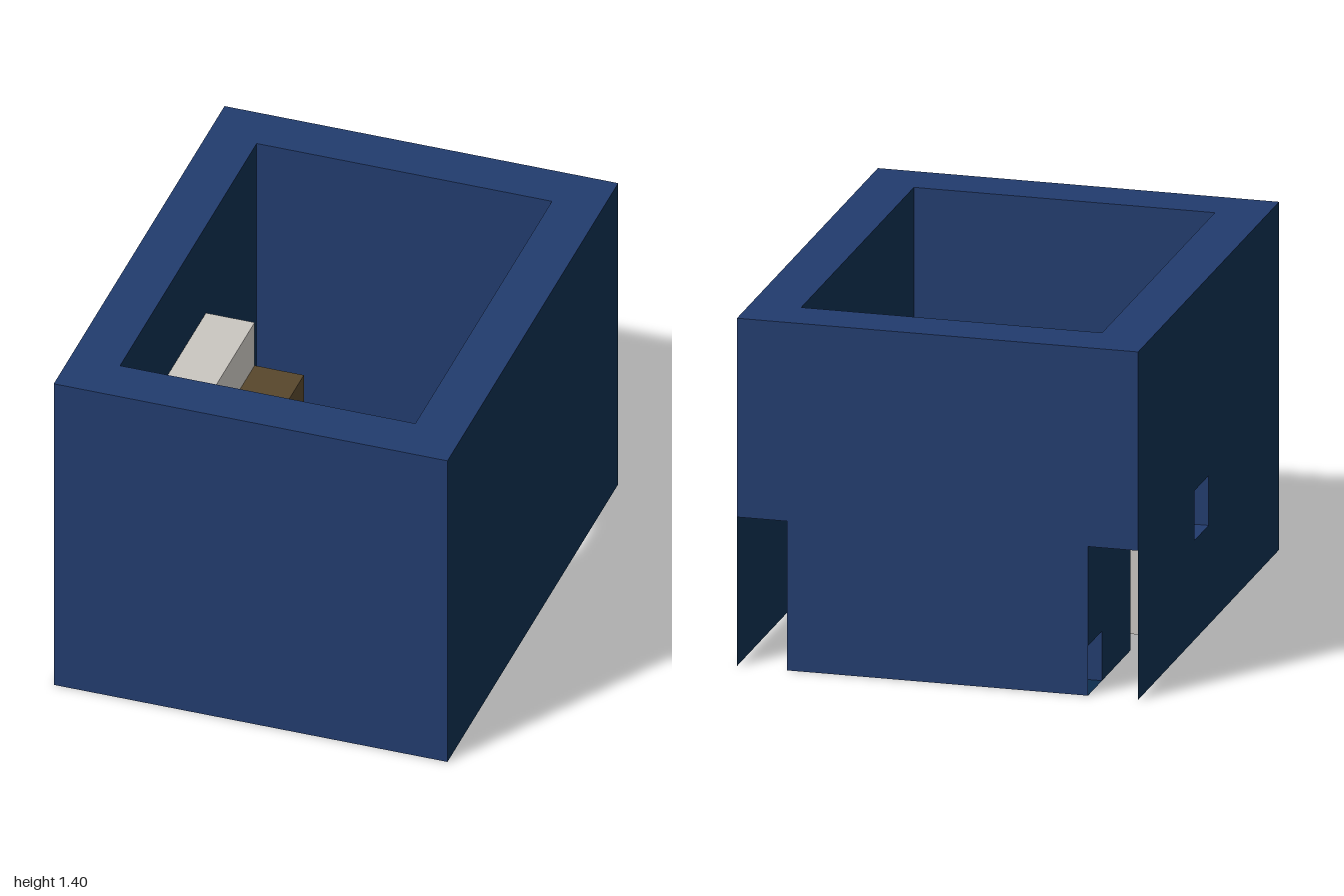
import * as THREE from 'three';

export function createModel() {
  const model = new THREE.Group();
  const mat = (name, color, side = THREE.FrontSide) => {
    const m = new THREE.MeshStandardMaterial({ color, side });
    m.name = name;
    return m;
  };
  const blue = mat('royalBlue', 0x213b6d, THREE.DoubleSide);
  const navy = mat('deepNavy', 0x0d2d4d, THREE.DoubleSide);
  const stone = mat('paleStone', 0xc9c5bf);
  const wood = mat('darkWood', 0x57462c);
  const gold = mat('gold', 0xcab03c);

  // Flat sheet across one axis. Rectangles are [u0, v0, u1, v1]:
  // (z, y) for x sheets, (x, z) for y sheets, (x, y) for z sheets.
  const corners = ([a, b, c, d]) =>
    [[a, b], [c, b], [c, d], [a, d]].map(([u, v]) => new THREE.Vector2(u, v));
  function sheet(name, axis, at, rect, material, hole) {
    const shape = new THREE.Shape(corners(rect));
    if (hole) shape.holes.push(new THREE.Path(corners(hole)));
    const geo = new THREE.ShapeGeometry(shape);
    if (axis === 'x') geo.rotateY(-Math.PI / 2);
    if (axis === 'y') geo.rotateX(Math.PI / 2);
    const mesh = new THREE.Mesh(geo, material);
    mesh.position[axis] = at;
    mesh.name = name;
    model.add(mesh);
  }

  function box(name, [x0, y0, z0], [x1, y1, z1], material) {
    const mesh = new THREE.Mesh(new THREE.BoxGeometry(x1 - x0, y1 - y0, z1 - z0), material);
    mesh.position.set((x0 + x1) / 2, (y0 + y1) / 2, (z0 + z1) / 2);
    mesh.name = name;
    model.add(mesh);
  }

  // Hollow side walls, with a low passage behind each and a window on the right
  const windowHole = [-0.2, 0.4, 0, 0.6];
  for (const s of [1, -1]) {
    const hole = s < 0 ? windowHole : null;
    sheet('sideWallOuter', 'x', s * 0.8, [-1, 0, 1, 1.4], navy, hole);
    sheet('sideWallInnerUpper', 'x', s * 0.6, [-0.8, 0.6, 0.8, 1.4], navy);
    sheet('sideWallInnerFront', 'x', s * 0.6, [0, 0, 0.8, 0.6], navy);
    sheet('sideWallInnerMiddle', 'x', s * 0.6, [-0.2, 0, 0, s < 0 ? 0.4 : 0.6], navy);
    sheet('sideWallInnerBack', 'x', s * 0.6, [-0.8, 0, -0.4, 0.6], navy);
    sheet('passageCheek', 'x', s * 0.6, [-1, s < 0 ? 0.2 : 0, -0.8, 0.6], navy);
    sheet('sideWallBottom', 'y', 0, s > 0 ? [0.6, -0.2, 0.8, 0.8] : [-0.8, -0.2, -0.6, 0.8], navy);
  }

  // Front wall
  sheet('frontWallOuter', 'z', 1, [-0.8, 0, 0.8, 1.4], blue);
  sheet('frontWallInner', 'z', 0.8, [-0.6, 0, 0.6, 1.4], blue);
  sheet('frontWallBottom', 'y', 0, [-0.8, 0.8, 0.8, 1], navy);

  // Back wall, its lower corners open into the passages
  sheet('backWallUpper', 'z', -1, [-0.8, 0.6, 0.8, 1.4], blue);
  sheet('backWallLower', 'z', -1, [-0.6, 0, 0.6, 0.6], blue);
  sheet('backWallInner', 'z', -0.8, [-0.6, 0, 0.6, 1.4], blue);
  sheet('backWallBottom', 'y', 0, [-0.6, -1, 0.6, -0.8], navy);

  // Top rim
  sheet('topRim', 'y', 1.4, [-0.8, -1, 0.8, 1], blue, [-0.6, -0.8, 0.6, 0.8]);

  // Window lining
  for (const y of [0.4, 0.6]) sheet('windowSill', 'y', y, [-0.8, -0.2, -0.6, 0], blue);
  for (const z of [-0.2, 0]) sheet('windowJamb', 'z', z, [-0.8, 0.4, -0.6, 0.6], blue);

  // Stone block against the right wall, with wooden panels let into it
  box('stoneBlock', [-0.598, 0.002, -0.2], [-0.4, 1, 0.798], stone);
  box('lowerPanel', [-0.595, 0, 0], [-0.397, 0.2, 0.6], wood);
  box('upperPanel', [-0.41, 0.4, 0], [-0.397, 0.8, 0.6], wood);

  // Shelf carrying a wooden and a gold block
  box('shelfBase', [-0.4, 0.6, -0.2], [-0.2, 0.606, 0.2], wood);
  box('woodBlock', [-0.4, 0.606, -0.2], [-0.2, 0.8, 0], wood);
  box('goldBlock', [-0.4, 0.606, 0], [-0.2, 0.8, 0.2], gold);

  return model;
}
